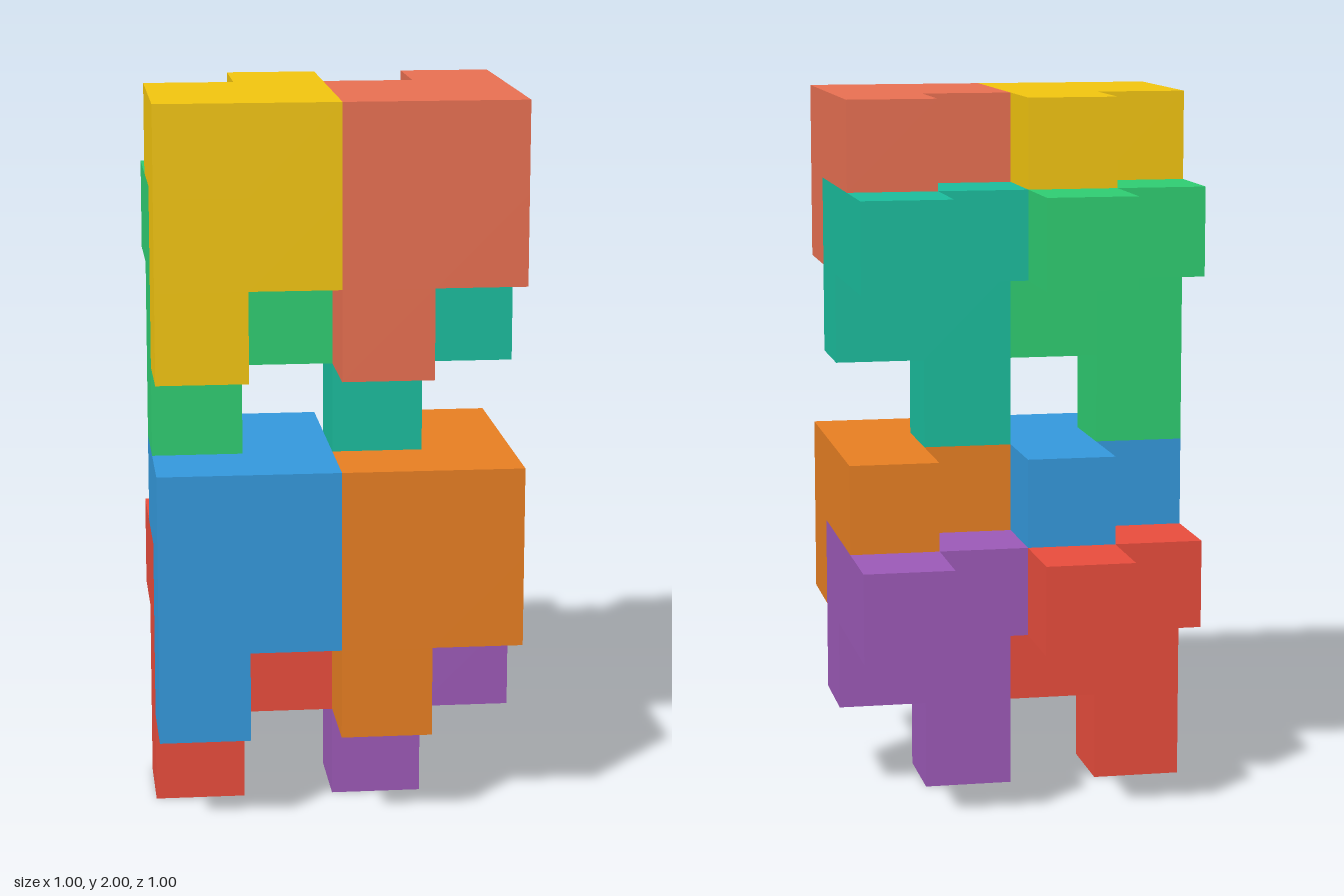
import * as THREE from 'three';
import { mergeGeometries } from 'three/addons/utils/BufferGeometryUtils.js';

const U = 0.25; // edge of one unit cube

// Cells (x, y, z) of the repeated eight-cube puzzle piece
const CELLS = [
  [0, 0, 2],                                              // foot
  [0, 1, 2], [1, 1, 2],                                   // front wall
  [0, 2, 2], [1, 2, 2], [0, 2, 1], [1, 2, 1], [1, 2, 0],  // top slab with back tab
];

// Outward direction of each cube side, with the turn that makes a plane face it
const SIDES = [
  { d: [0, 0, 1], rx: 0, ry: 0 },
  { d: [0, 0, -1], rx: 0, ry: Math.PI },
  { d: [1, 0, 0], rx: 0, ry: Math.PI / 2 },
  { d: [-1, 0, 0], rx: 0, ry: -Math.PI / 2 },
  { d: [0, 1, 0], rx: -Math.PI / 2, ry: 0 },
  { d: [0, -1, 0], rx: Math.PI / 2, ry: 0 },
];

// Outer skin of the piece: only sides without a neighbouring cube
function pieceGeometry() {
  const filled = new Set(CELLS.map(String));
  const faces = [];
  for (const cell of CELLS) {
    for (const { d, rx, ry } of SIDES) {
      if (filled.has(String(cell.map((c, i) => c + d[i])))) continue;
      const [x, y, z] = cell.map((c) => (c + 0.5) * U);
      faces.push(new THREE.PlaneGeometry(U, U)
        .translate(0, 0, U / 2).rotateX(rx).rotateY(ry).translate(x, y, z));
    }
  }
  return mergeGeometries(faces);
}

// Grid offset of each interlocking piece
const PIECES = [
  { name: 'lowerBackRightPiece', color: 0xe74c3c, at: [0, 0, 0] },
  { name: 'lowerBackLeftPiece', color: 0x9b59b6, at: [2, 0, 0] },
  { name: 'lowerFrontRightPiece', color: 0x3498db, at: [0, 1, 1] },
  { name: 'lowerFrontLeftPiece', color: 0xe67e22, at: [2, 1, 1] },
  { name: 'upperBackRightPiece', color: 0x2ecc71, at: [0, 4, 0] },
  { name: 'upperBackLeftPiece', color: 0x1abc9c, at: [2, 4, 0] },
  { name: 'upperFrontRightPiece', color: 0xf1c40f, at: [0, 5, 1] },
  { name: 'upperFrontLeftPiece', color: 0xe76f51, at: [2, 5, 1] },
];

export function createModel() {
  const group = new THREE.Group();
  group.name = 'interlockingCubePieces';
  const geometry = pieceGeometry();
  for (const { name, color, at } of PIECES) {
    const mesh = new THREE.Mesh(geometry, new THREE.MeshStandardMaterial({ color }));
    mesh.name = name;
    mesh.position.set(at[0] * U - 0.5, at[1] * U, at[2] * U - 0.5);
    group.add(mesh);
  }
  return group;
}
